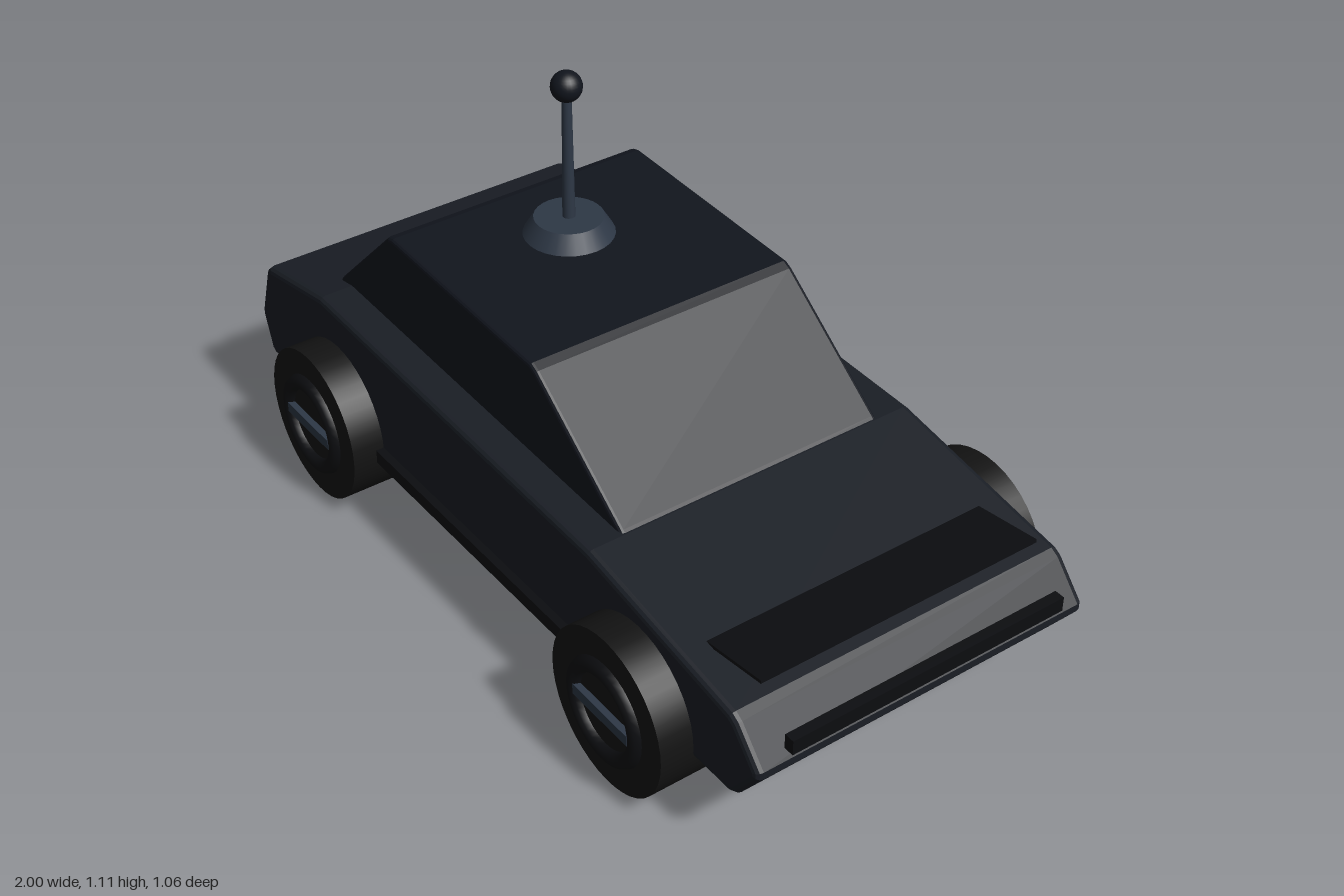
import * as THREE from 'three';

const mat = (color) => new THREE.MeshStandardMaterial({ color });

export function createModel() {
  const car = new THREE.Group();
  car.name = 'toyCar';

  const paint = mat(0x1a1e25), glass = mat(0x11151d), rubber = mat(0x131313);
  const trim = mat(0x0c0d10), steel = mat(0x2e3846);

  const add = (name, geometry, material, x = 0, y = 0, z = 0, parent = car) => {
    const mesh = new THREE.Mesh(geometry, material);
    mesh.name = name;
    mesh.position.set(x, y, z);
    parent.add(mesh);
    return mesh;
  };

  // Side profile extruded across the car, with softened side edges
  const slab = (points, halfWidth, bevel) => {
    const shape = new THREE.Shape(points.map(([x, y]) => new THREE.Vector2(x, y)));
    const geometry = new THREE.ExtrudeGeometry(shape, {
      depth: 2 * (halfWidth - bevel), bevelEnabled: true, bevelSize: bevel,
      bevelThickness: bevel, bevelOffset: -bevel, bevelSegments: 3,
    });
    return geometry.translate(0, 0, -(halfWidth - bevel));
  };

  // Wedge-shaped body
  add('body', slab([
    [-0.94, 0.165], [0.9, 0.165], [0.92, 0.175], [0.985, 0.262], [0.985, 0.28],
    [0.915, 0.36], [0.895, 0.372], [0.42, 0.45], [-0.67, 0.477], [-0.925, 0.427],
    [-0.942, 0.412], [-0.985, 0.28], [-0.985, 0.262], [-0.955, 0.175],
  ], 0.43, 0.016), paint);

  // Straight-sided cabin
  add('cabin', slab([
    [-0.735, 0.455], [0.435, 0.435], [0.41, 0.455], [0.11, 0.68], [0.09, 0.69],
    [-0.465, 0.71], [-0.485, 0.705], [-0.715, 0.48],
  ], 0.342, 0.01), glass);

  // Sills between the wheels
  for (const s of [-1, 1]) {
    add('sill', new THREE.BoxGeometry(0.96, 0.035, 0.04), trim, 0, 0.183, s * 0.43);
  }

  // Bumpers and raised hood flap
  add('noseBumper', new THREE.BoxGeometry(0.025, 0.036, 0.71), trim, 0.985, 0.32, 0);
  add('tailBumper', new THREE.BoxGeometry(0.025, 0.04, 0.735), trim, -0.988, 0.33, 0);
  add('hoodFlap', new THREE.BoxGeometry(0.172, 0.008, 0.72), trim, 0.815, 0.408, 0)
    .rotation.z = 0.14;

  // Wheels: tyre, hub ring and cross bar
  for (const x of [-0.6, 0.595]) {
    for (const s of [-1, 1]) {
      const wheel = new THREE.Group();
      wheel.name = 'wheel';
      wheel.position.set(x, 0.19, s * 0.4375);
      const tyre = new THREE.CylinderGeometry(0.19, 0.19, 0.145, 40);
      add('tyre', tyre.rotateX(Math.PI / 2), rubber, 0, 0, 0, wheel);
      add('hubRing', new THREE.TorusGeometry(0.107, 0.019, 8, 36), trim, 0, 0, s * 0.0725, wheel);
      add('hubBar', new THREE.BoxGeometry(0.19, 0.026, 0.03), steel, 0, 0, s * 0.073, wheel);
      car.add(wheel);
    }
  }

  // Roof antenna
  const antenna = new THREE.Group();
  antenna.name = 'antenna';
  antenna.position.x = -0.263;
  add('antennaBase', new THREE.CylinderGeometry(0.08, 0.105, 0.042, 28), steel, 0, 0.73, 0, antenna);
  add('antennaRod', new THREE.CylinderGeometry(0.011, 0.015, 0.32, 14), steel, 0, 0.9, 0, antenna);
  add('antennaBall', new THREE.SphereGeometry(0.036, 24, 16), glass, 0, 1.077, 0, antenna);
  car.add(antenna);

  return car;
}
